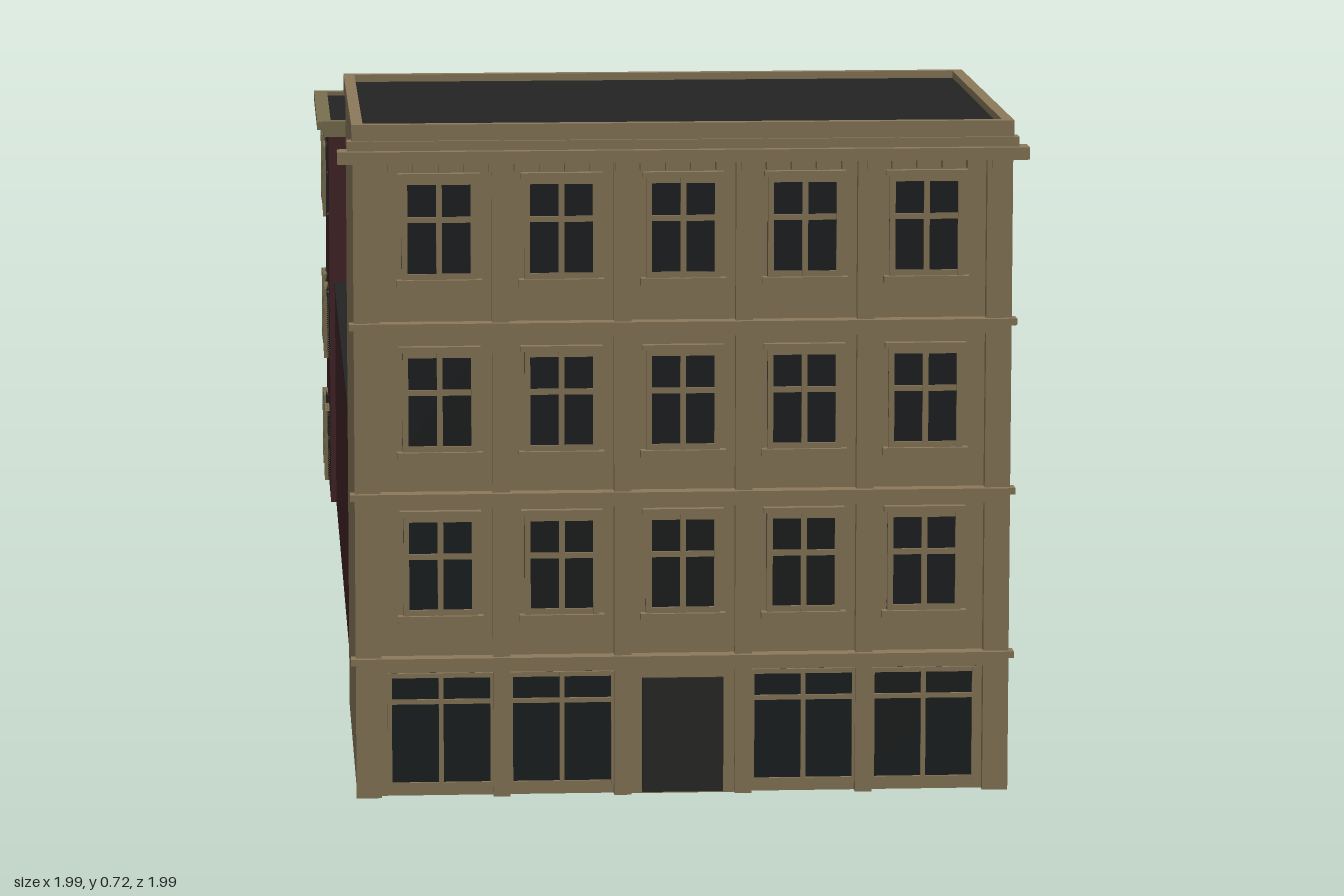
import * as THREE from 'three';

const paint = (name, color) => Object.assign(new THREE.MeshStandardMaterial({ color }), { name });

export function createModel() {
  const stone = paint('tan stone', 0x8c7a5b);
  const brick = paint('dark red brick', 0x442427);
  const roofing = paint('roofing', 0x232323);
  const glass = paint('dark glass', 0x1d2021);
  const trim = paint('olive trim', 0x7a6f50);
  const doorPaint = paint('door', 0x2a2a28);

  const model = new THREE.Group();
  model.name = 'buildingBlock';
  // The whole block stands diagonally
  const block = new THREE.Group();
  block.name = 'block';
  block.rotation.y = Math.PI / 4;
  model.add(block);

  // Box given by its limits on each axis
  function box(parent, name, mat, x0, x1, y0, y1, z0, z1) {
    const mesh = new THREE.Mesh(new THREE.BoxGeometry(x1 - x0, y1 - y0, z1 - z0), mat);
    mesh.position.set((x0 + x1) / 2, (y0 + y1) / 2, (z0 + z1) / 2);
    mesh.name = name;
    parent.add(mesh);
    return mesh;
  }

  // Wall plane whose own +z points outward
  function wall(name, x, z, angle) {
    const g = new THREE.Group();
    g.name = name;
    g.position.set(x, 0, z);
    g.rotation.y = angle;
    block.add(g);
    return g;
  }

  // Rectangular rim around a roof
  function rim(name, mat, w, z0, z1, y0, y1, t) {
    box(block, name, mat, -w, w, y0, y1, z0, z0 + t);
    box(block, name, mat, -w, w, y0, y1, z1 - t, z1);
    for (const s of [-1, 1]) {
      const a = s * w, b = s * (w - t);
      box(block, name, mat, Math.min(a, b), Math.max(a, b), y0, y1, z0 + t, z1 - t);
    }
  }

  // Glazed opening with a frame, a centre mullion and cross bars
  function windowUnit(parent, frame, cx, y0, y1, w, bars, t = 0.006) {
    const g = new THREE.Group();
    g.name = 'window';
    parent.add(g);
    const h = w / 2;
    box(g, 'windowGlass', glass, cx - h, cx + h, y0, y1, 0, 0.003);
    for (const x of [cx - h, cx - t / 2, cx + h - t])
      box(g, 'windowMullion', frame, x, x + t, y0, y1, 0, 0.007);
    for (const f of [0, ...bars, 1]) {
      const y = y0 + f * (y1 - y0 - t);
      box(g, 'windowBar', frame, cx - h, cx + h, y, y + t, 0, 0.006);
    }
  }

  // Long low hall in the middle
  box(block, 'hallWalls', brick, -0.34, 0.34, 0, 0.291, -0.72, 0.57);
  box(block, 'hallRoof', roofing, -0.341, 0.341, 0.291, 0.297, -0.702, 0.554);

  // Tall stone building
  const W = 0.345, faceZ = 1.02;
  box(block, 'tallWalls', stone, -W, W, 0, 0.703, 0.555, faceZ);
  box(block, 'tallRoof', roofing, -W + 0.01, W - 0.01, 0.703, 0.709, 0.565, faceZ);
  rim('parapet', stone, W + 0.002, 0.553, 1.03, 0.7, 0.717, 0.012);

  const facade = wall('facade', 0, faceZ, 0);
  const bay = 0.128;
  // Pilasters between the bays, wider at both ends
  for (let i = 0; i <= 5; i++) {
    const x = (i - 2.5) * bay, end = i % 5 === 0;
    const half = end ? 0.0135 : 0.009;
    const c = end ? Math.sign(x) * (W + 0.001 - half) : x;
    box(facade, 'pilaster', stone, c - half, c + half, 0, 0.68, 0, 0.011);
  }
  // Floor bands with a small projecting ledge
  for (const y of [0.147, 0.323, 0.504]) {
    box(facade, 'floorBand', stone, -W, W, y - 0.012, y + 0.004, 0, 0.012);
    box(facade, 'floorLedge', stone, -W - 0.006, W + 0.006, y - 0.003, y + 0.004, 0, 0.018);
  }
  // Upper windows with sills and lintels
  for (const y of [0.195, 0.37, 0.553])
    for (let i = -2; i <= 2; i++) {
      const x = i * bay;
      windowUnit(facade, stone, x, y, y + 0.106, 0.078, [0.6]);
      box(facade, 'windowSill', stone, x - 0.045, x + 0.045, y - 0.008, y, 0, 0.011);
      box(facade, 'windowLintel', stone, x - 0.043, x + 0.043, y + 0.106, y + 0.112, 0, 0.009);
    }
  // Shop windows and the central door
  for (const i of [-2, -1, 1, 2])
    windowUnit(facade, stone, i * bay, 0.01, 0.133, 0.114, [0.76], 0.005);
  box(facade, 'doorSurround', stone, -0.055, 0.055, 0, 0.135, 0, 0.004);
  box(facade, 'door', doorPaint, -0.043, 0.043, 0.002, 0.125, 0, 0.008);
  // Main cornice and dentils
  box(facade, 'cornice', stone, -0.362, 0.362, 0.677, 0.69, -0.005, 0.024);
  box(facade, 'corniceTop', stone, -0.352, 0.352, 0.69, 0.7, -0.005, 0.014);
  for (let i = 0; i < 26; i++) {
    const x = -0.33 + i * 0.0264;
    box(facade, 'dentil', stone, x - 0.006, x + 0.006, 0.667, 0.677, 0, 0.016);
  }

  // Brick building at the far end
  const z0 = -1.037, z1 = -0.703, B = 0.347;
  box(block, 'brickWalls', brick, -B, B, 0, 0.5, z0, z1);
  box(block, 'brickRoof', roofing, -B - 0.004, B + 0.004, 0.5, 0.508, z0 - 0.004, z1 + 0.004);
  rim('brickCornice', trim, B + 0.015, z0 - 0.013, z1 + 0.013, 0.502, 0.513, 0.018);
  rim('brickCorniceMoulding', trim, B + 0.007, z0 - 0.007, z1 + 0.007, 0.492, 0.502, 0.012);

  const mid = (z0 + z1) / 2;
  const rows = [0.018, 0.184, 0.376];
  const five = [-2, -1, 0, 1, 2].map(i => i * 0.13);
  const two = [-0.066, 0.066];
  const brickFaces = [
    ['brickFront', 0, z1, 0, five, [0.376]],
    ['brickRear', 0, z0, Math.PI, five, rows],
    ['brickLeft', B, mid, Math.PI / 2, two, rows],
    ['brickRight', -B, mid, -Math.PI / 2, two, rows],
  ];
  for (const [name, x, z, angle, columns, levels] of brickFaces) {
    const g = wall(name, x, z, angle);
    for (const y of levels)
      for (const c of columns) windowUnit(g, trim, c, y, y + 0.094, 0.068, [0.62], 0.005);
  }
  return model;
}
